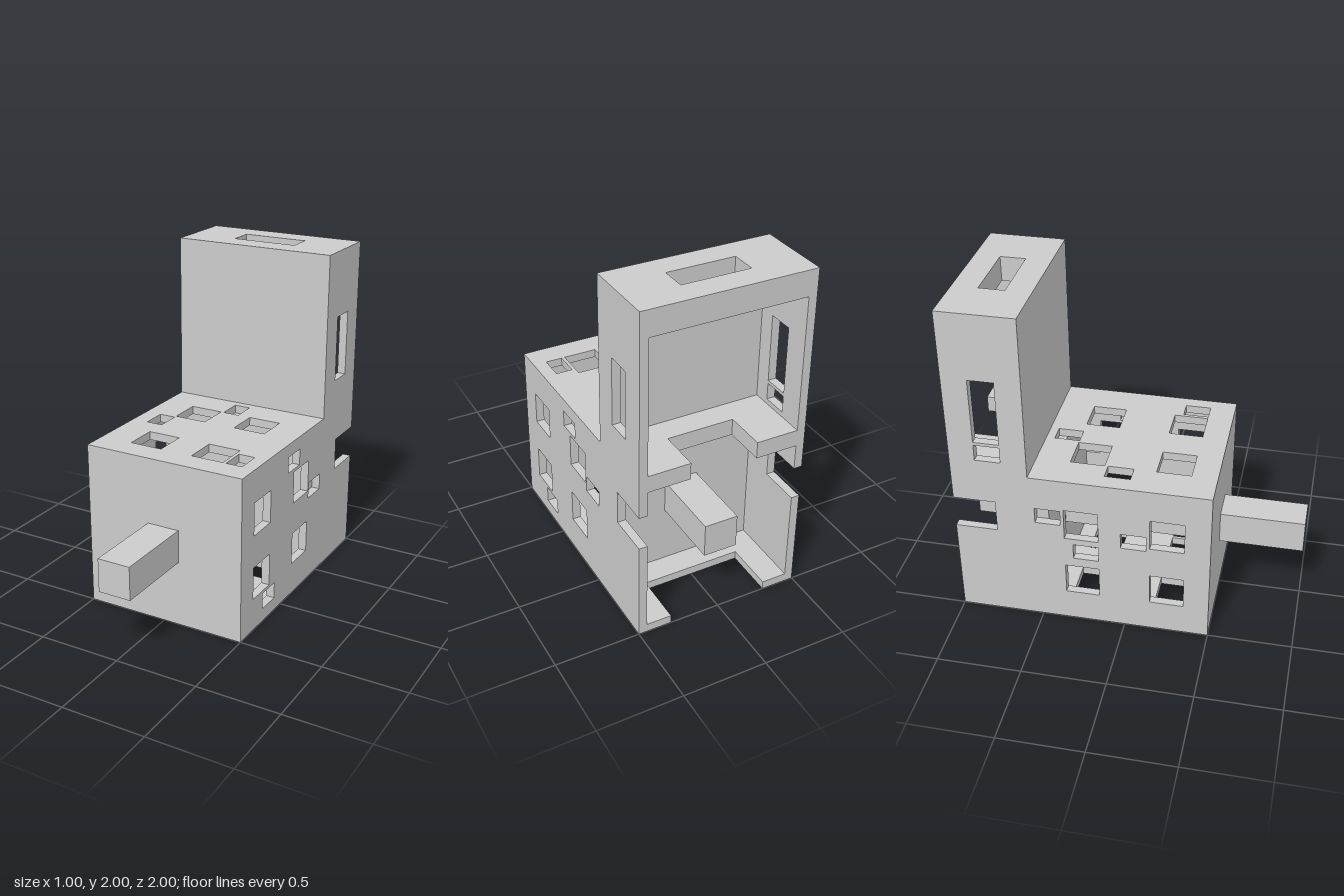
import * as THREE from 'three';

const T = 0.05; // shell thickness

// Corner points of a rectangle
const rect = (a0, a1, b0, b1) => [[a0, b0], [a1, b0], [a1, b1], [a0, b1]];

// Four square windows shared by opposite walls
const windows = (a, b) => a.flatMap(([a0, a1]) => b.map(([b0, b1]) => rect(a0, a1, b0, b1)));

export function createModel() {
  const model = new THREE.Group();
  const material = new THREE.MeshStandardMaterial({ color: 0xcccccc, flatShading: true });
  const vec = (pts) => pts.map(([a, b]) => new THREE.Vector2(a, b));

  const add = (name, geometry) => {
    const mesh = new THREE.Mesh(geometry, material);
    mesh.name = name;
    model.add(mesh);
  };
  const slab = (outline, holes, depth) => {
    const shape = new THREE.Shape(vec(outline));
    holes.forEach((h) => shape.holes.push(new THREE.Path(vec(h))));
    return new THREE.ExtrudeGeometry(shape, { depth, bevelEnabled: false });
  };
  // Plates: side uses (z, y), level uses (x, z), upright uses (x, y)
  const side = (name, xMax, outline, holes) =>
    add(name, slab(outline, holes, T).rotateY(-Math.PI / 2).translate(xMax, 0, 0));
  const level = (name, yMax, depth, outline, holes = []) =>
    add(name, slab(outline, holes, depth).rotateX(Math.PI / 2).translate(0, yMax, 0));
  const upright = (name, zMin, outline) =>
    add(name, slab(outline, [], T).translate(0, 0, zMin));

  // Side walls: L-shaped with a notch in the back edge
  const sideOutline = [[0.5, 0], [0.5, 1], [-0.55, 1], [-0.55, 2], [-1, 2],
    [-1, 0.8], [-0.75, 0.8], [-0.75, 0.6], [-1, 0.6], [-1, 0]];
  const sideHoles = [
    ...windows([[0.15, 0.35], [-0.35, -0.15]], [[0.2, 0.4], [0.6, 0.8]]),
    rect(-0.85, -0.7, 1.2, 1.6),
  ];
  side('leftWall', 0.5, sideOutline, [...sideHoles,
    rect(0.08, 0.23, 0.08, 0.18), rect(-0.22, -0.07, 0.82, 0.92), rect(-0.52, -0.36, 0.55, 0.65)]);
  side('rightWall', -0.45, sideOutline, [...sideHoles,
    rect(-0.52, -0.37, 0.69, 0.79), rect(-0.3, -0.15, 0.46, 0.56),
    rect(-0.02, 0.13, 0.58, 0.68), rect(-0.85, -0.7, 1.08, 1.18)]);

  // Upright walls
  upright('frontWall', 0.45, rect(-0.45, 0.45, 0, 1));
  upright('towerFrontWall', -0.6, rect(-0.45, 0.45, 1.05, 1.85));
  add('innerWall', new THREE.BoxGeometry(0.9, 0.9, 0.1).translate(0, 0.5, -0.5));

  // Deck of the front box
  const x = [[0.1, 0.3], [-0.3, -0.1]], z = [[0.15, 0.35], [-0.35, -0.15]];
  level('deck', 1, T, rect(-0.45, 0.45, -0.55, 0.45), [...windows(x, z),
    rect(0.32, 0.42, 0.2, 0.35), rect(-0.4, -0.3, -0.13, 0.02), rect(-0.08, 0.02, -0.5, -0.35)]);

  // Floor with a back notch; one small opening merges with a window
  const notched = (w, depth, zFront) => [[-0.45, zFront], [-0.45, -1], [-w, -1], [-w, depth],
    [w, depth], [w, -1], [0.45, -1], [0.45, zFront]];
  level('floor', T, T, notched(0.3, -0.7, 0.45), [...windows(x, z).slice(0, 3),
    [[-0.3, -0.35], [-0.1, -0.35], [-0.1, -0.15], [-0.25, -0.15], [-0.25, -0.05],
      [-0.35, -0.05], [-0.35, -0.2], [-0.3, -0.2]],
    rect(0.32, 0.42, 0.15, 0.3), rect(-0.08, 0.02, -0.53, -0.38)]);

  // Shelf between the two rear bays and slotted tower lid
  level('shelf', 1.05, 0.1, notched(0.2, -0.75, -0.55));
  level('towerLid', 2, 0.15, rect(-0.45, 0.45, -1, -0.55), [rect(-0.2, 0.2, -0.85, -0.7)]);

  // Square bar running through the whole body
  add('bar', new THREE.BoxGeometry(0.2, 0.2, 2).translate(0, 0.5, 0));

  return model;
}
